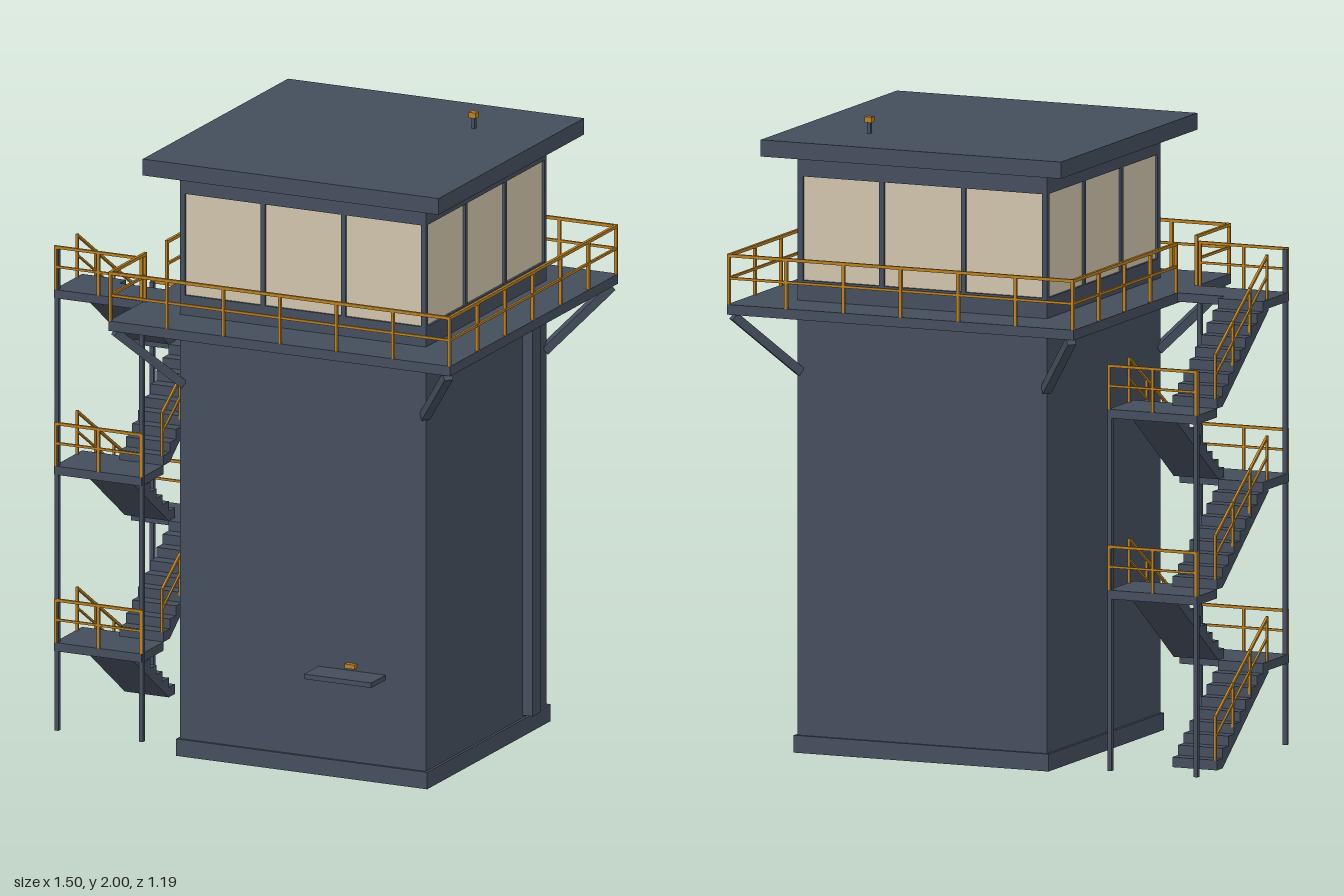
import * as THREE from 'three';

export function createModel() {
  const root = new THREE.Group();
  const make = (name, color) => {
    const m = new THREE.MeshStandardMaterial({ color });
    m.name = name;
    return m;
  };
  const steel = make('slate steel', 0x444e5c);
  const glass = make('tan glass', 0xcfc3aa);
  const gold = make('amber paint', 0xb87f22);

  // Box given by its min and max corners
  const box = (name, mat, x0, x1, y0, y1, z0, z1, parent = root) => {
    const m = new THREE.Mesh(new THREE.BoxGeometry(x1 - x0, y1 - y0, z1 - z0), mat);
    m.position.set((x0 + x1) / 2, (y0 + y1) / 2, (z0 + z1) / 2);
    m.name = name;
    parent.add(m);
    return m;
  };
  // Square bar between two points
  const bar = (name, mat, a, b, t, parent = root) => {
    const p = new THREE.Vector3(...a), q = new THREE.Vector3(...b);
    const m = new THREE.Mesh(new THREE.BoxGeometry(t, t, p.distanceTo(q) + t * 0.5), mat);
    m.position.copy(p).add(q).multiplyScalar(0.5);
    m.lookAt(q);
    m.name = name;
    parent.add(m);
    return m;
  };
  // Railing: posts, middle rail and top rail from a to b (foot points)
  const railing = (name, a, b, spans, h, t = 0.01) => {
    const g = new THREE.Group();
    g.name = name;
    const up = (p, d) => [p[0], p[1] + d, p[2]];
    for (let i = 0; i <= spans; i++) {
      const p = a.map((v, k) => v + (b[k] - v) * i / spans);
      box('railPost', gold, p[0] - t / 2, p[0] + t / 2, p[1], p[1] + h, p[2] - t / 2, p[2] + t / 2, g);
    }
    bar('topRail', gold, up(a, h - t / 2), up(b, h - t / 2), t, g);
    bar('middleRail', gold, up(a, h * 0.52), up(b, h * 0.52), t * 0.8, g);
    root.add(g);
  };

  // Square tower parts, centred on cx
  const cx = 0.152;
  const slab = (name, mat, half, y0, y1) => box(name, mat, cx - half, cx + half, y0, y1, -half, half);
  slab('plinth', steel, 0.437, 0, 0.055);
  slab('shaft', steel, 0.428, 0.055, 1.40);
  slab('gallery', steel, 0.595, 1.40, 1.432);
  slab('cabSill', steel, 0.428, 1.432, 1.496);
  slab('cabWindows', glass, 0.42, 1.496, 1.825);
  slab('cabHeader', steel, 0.428, 1.825, 1.894);
  slab('roof', steel, 0.515, 1.894, 1.947);

  // Window mullions on all four sides
  for (let side = 0; side < 4; side++) {
    const g = new THREE.Group();
    g.name = 'mullions';
    g.position.x = cx;
    g.rotation.y = side * Math.PI / 2;
    for (const x of [-0.419, -0.14, 0.14, 0.419])
      box('mullion', steel, x - 0.008, x + 0.008, 1.496, 1.825, 0.41, 0.428, g);
    root.add(g);
  }

  // Diagonal struts under the gallery corners
  for (const sx of [-1, 1]) for (const sz of [-1, 1])
    bar('strut', steel, [cx + sx * 0.425, 1.21, sz * 0.425], [cx + sx * 0.575, 1.39, sz * 0.575], 0.028);

  // Gallery railings, with an opening at the stair landing
  const e = 0.59, gy = 1.432, gh = 0.16;
  railing('frontRailing', [cx - e, gy, e], [cx + e, gy, e], 6, gh);
  railing('backRailing', [cx - e, gy, -e], [cx + e, gy, -e], 6, gh);
  railing('leftRailing', [cx + e, gy, -e], [cx + e, gy, e], 6, gh);
  railing('stairSideRailing', [cx - e, gy, -e], [cx - e, gy, 0.19], 4, gh);
  railing('stairSideRailing', [cx - e, gy, 0.345], [cx - e, gy, e], 1, gh);

  // Duct, canopy, lamp and roof beacon
  box('duct', steel, 0.575, 0.616, 0.064, 1.39, -0.313, -0.256);
  box('canopy', steel, 0.206, 0.44, 0.334, 0.35, 0.42, 0.53);
  box('canopyLamp', gold, 0.306, 0.34, 0.36, 0.374, 0.42, 0.446);
  box('beaconRod', steel, 0.403, 0.415, 1.947, 1.985, -0.266, -0.254);
  box('beacon', gold, 0.397, 0.421, 1.982, 2, -0.272, -0.248);

  // Outside stair: five flights between alternating landings
  const rise = 0.2864, zBack = -0.2, zFront = 0.19, steps = 9;
  const xOut = -0.755, xMid = -0.602, xIn = -0.45, rh = 0.142;
  const run = (zFront - zBack) / steps, riser = rise / steps;

  // Stepped profile with a sloping soffit
  const profile = new THREE.Shape();
  profile.moveTo(0, 0);
  for (let i = 0; i < steps; i++) {
    profile.lineTo(i * run, (i + 1) * riser);
    profile.lineTo((i + 1) * run, (i + 1) * riser);
  }
  profile.lineTo(steps * run, rise - 0.035);
  profile.lineTo(run, 0);
  profile.closePath();
  const flightGeo = new THREE.ExtrudeGeometry(profile, { depth: xMid - xOut, bevelEnabled: false });
  flightGeo.translate(0, 0, -(xMid - xOut) / 2);

  for (let i = 0; i < 5; i++) {
    const toFront = i % 2 === 0, y = i * rise, top = y + rise;
    const flight = new THREE.Mesh(flightGeo, steel);
    flight.name = 'stairFlight';
    flight.rotation.y = toFront ? -Math.PI / 2 : Math.PI / 2;
    flight.position.set(toFront ? (xOut + xMid) / 2 : (xMid + xIn) / 2, y, toFront ? zBack : zFront);
    root.add(flight);
    const x = toFront ? xOut + 0.005 : xIn - 0.005;
    railing('flightRailing', [x, y + riser, toFront ? zBack : zFront], [x, top, toFront ? zFront : zBack], 3, rh, 0.008);

    // Landing at the top of the flight, railed on its outer edge
    const z0 = toFront ? zFront : -0.35, z1 = toFront ? 0.345 : zBack;
    box('landing', steel, xOut, i === 4 ? cx - 0.595 : xIn, top - 0.028, top, z0, z1);
    const zr = toFront ? 0.341 : -0.346;
    railing('landingRailing', [xOut + 0.004, top, zr], [xIn - 0.002, top, zr], 2, rh, 0.009);
  }

  // Stair legs
  const leg = (x, z, h) => box('stairLeg', steel, x - 0.007, x + 0.007, 0, h, z - 0.007, z + 0.007);
  leg(xOut + 0.007, 0.335, 1.57);
  leg(xIn - 0.004, 0.335, 1.432);
  leg(xOut + 0.007, -0.34, 1.285);
  leg(xIn - 0.004, -0.34, 1.146);

  return root;
}
